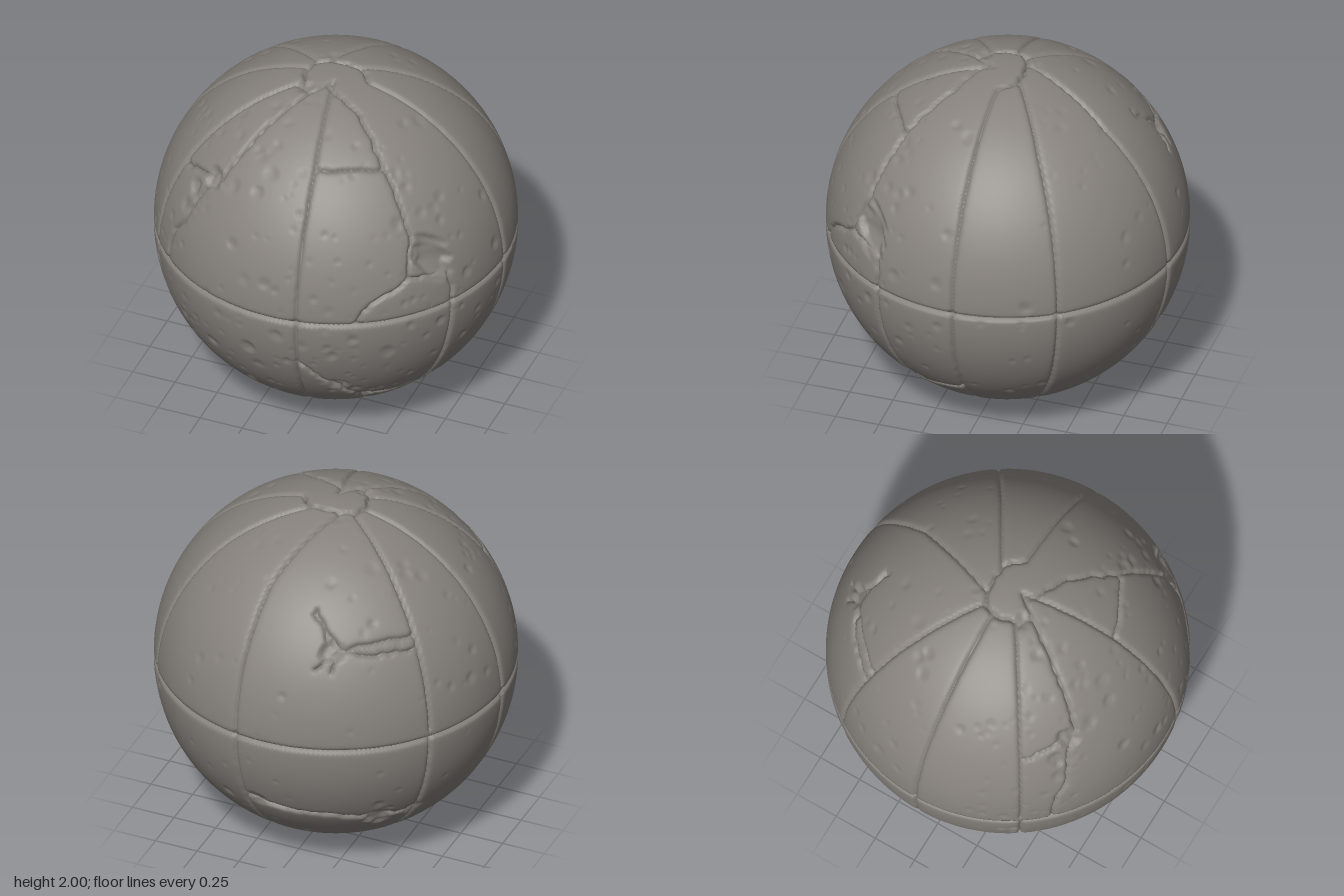
import * as THREE from 'three';
import { mergeVertices } from 'three/addons/utils/BufferGeometryUtils.js';

let seed = 7;
const rnd = () => {
  seed = (seed * 16807) % 2147483647;
  return seed / 2147483647;
};

// Point on the unit sphere at (u right, v up) as seen from an azimuth and elevation in degrees
function on(az, el, u, v) {
  const a = az * Math.PI / 180, e = el * Math.PI / 180;
  const w = Math.sqrt(Math.max(0, 1 - u * u - v * v));
  return new THREE.Vector3(Math.cos(a), 0, -Math.sin(a)).multiplyScalar(u)
    .addScaledVector(new THREE.Vector3(-Math.sin(a) * Math.sin(e), Math.cos(e), -Math.cos(a) * Math.sin(e)), v)
    .addScaledVector(new THREE.Vector3(Math.sin(a) * Math.cos(e), Math.sin(e), Math.cos(a) * Math.cos(e)), w)
    .normalize();
}
const front = (x, y) => on(0, 0, x, y - 1);
const side = (z, y) => on(90, 0, -z, y - 1);
const top = (x, z) => on(0, 90, x, -z);
const back = (u, v) => on(214, 24, u, v);
const under = (u, v) => on(140, -30, u, v);

// Grooves: short segments following a path over the sphere
const segments = [];
function groove(points, jitter, depth) {
  for (let i = 0; i < points.length - 1; i++) {
    const n = Math.max(1, Math.ceil(points[i].distanceTo(points[i + 1]) / 0.04));
    let from = points[i];
    for (let k = 1; k <= n; k++) {
      const to = points[i].clone().lerp(points[i + 1], k / n);
      if (k < n) to.add(new THREE.Vector3(rnd() - 0.5, rnd() - 0.5, rnd() - 0.5).multiplyScalar(jitter));
      to.normalize();
      segments.push({ a: from, d: to.clone().sub(from), depth });
      from = to;
    }
  }
}

function layOutGrooves() {
  // Equator
  const ring = [];
  for (let i = 0; i <= 32; i++) {
    ring.push(new THREE.Vector3(Math.cos(i * Math.PI / 16), 0, Math.sin(i * Math.PI / 16)));
  }
  groove(ring, 0.001, 0.024);

  // Upper seams, from the equator to the broken joint at the top
  const upper = [
    [[1, 0], [0.7, 0], [0.2, 0]],
    [[0.83, -0.56], [0.5, -0.34], [0.1, -0.1]],
    [[0.17, -0.985], [0.12, -0.6], [0, -0.28], [-0.07, -0.1]],
    [[-0.82, -0.57], [-0.5, -0.34], [-0.15, -0.08]],
    [[-1, 0], [-0.6, 0], [-0.17, 0]],
    [[-0.82, 0.57], [-0.55, 0.4], [-0.17, 0.15]],
    [[0.16, 0.987], [0.12, 0.6], [0.02, 0.08]],
  ];
  for (const path of upper) groove(path.map(([x, z]) => top(x, z)), 0.003, 0.017);

  // Lower seams
  const foot = new THREE.Vector3(-0.03, -1, -0.02).normalize();
  for (const [x, z] of [[1, 0], [0.83, -0.56], [0.17, -0.985], [-0.82, -0.57], [-1, 0], [-0.82, 0.57], [0.16, 0.987], [0.88, 0.47]]) {
    const mid = new THREE.Vector3(x, -1, z).normalize();
    groove([new THREE.Vector3(x, 0, z).normalize(), mid, foot], 0.003, 0.017);
  }

  // Cracks
  const crack = (view, path, depth = 0.02) => groove(path.map(([u, v]) => view(u, v)), 0.016, depth);
  crack(top, [[0.2, 0], [0.1, -0.1], [-0.07, -0.09], [-0.15, -0.05], [-0.17, 0.03], [-0.14, 0.15], [-0.08, 0.2]], 0.025);
  crack(top, [[-0.17, 0.15], [-0.08, 0.2], [0.02, 0.08]], 0.02);
  crack(front, [[0.88, 1], [0.88, 1.1], [0.86, 1.2], [0.7, 1.24], [0.66, 1.19], [0.55, 1.13], [0.47, 1.01]]);
  crack(front, [[0.7, 1.24], [0.69, 1.36], [0.68, 1.45], [0.6, 1.6], [0.46, 1.77], [0.24, 1.94], [0.02, 1.99]]);
  crack(front, [[0.13, 1.78], [0.3, 1.785], [0.46, 1.77]]);
  crack(front, [[-0.71, 1.01], [-0.67, 1.22], [-0.6, 1.32], [-0.5, 1.53], [-0.4, 1.62], [-0.33, 1.74], [-0.22, 1.88], [-0.08, 1.975]]);
  crack(front, [[-0.69, 1.53], [-0.55, 1.58], [-0.42, 1.61]]);
  crack(front, [[0.15, 0.7], [0.24, 0.6], [0.31, 0.5], [0.4, 0.36], [0.55, 0.31], [0.68, 0.32]], 0.028);
  crack(front, [[0.39, 0.35], [0.37, 0.2], [0.25, 0.1], [0.08, 0.01]]);
  crack(side, [[0.62, 0.33], [0.45, 0.31], [0.32, 0.34], [0.28, 0.3], [0.15, 0.34], [0, 0.38]], 0.025);
  crack(top, [[-0.67, -0.47], [-0.55, -0.6], [-0.32, -0.77], [-0.18, -0.66]]);
  crack(top, [[-0.32, -0.77], [-0.25, -0.85]]);
  crack(back, [[0.29, 0.14], [0.05, 0.13], [-0.12, 0.18], [-0.24, 0.38]]);
  crack(back, [[-0.12, 0.18], [-0.18, 0.06]]);
  crack(back, [[-0.62, -0.66], [-0.46, -0.75], [-0.2, -0.8], [0.08, -0.84], [0.3, -0.82]], 0.025);
  crack(under, [[0.47, 0], [0.62, -0.1], [0.76, -0.24], [0.81, -0.41]]);
}

// Broken-out hollows: centre, radius, depth
const chips = [
  [front(0.79, 1.31), 0.14, 0.04], [front(0.72, 1.36), 0.06, 0.03], [front(0.34, 0.5), 0.06, 0.025],
  [front(0.6, 0.32), 0.08, 0.025], [front(0.42, 0.34), 0.06, 0.025], [front(-0.46, 1.6), 0.07, 0.03],
  [front(-0.57, 1.5), 0.05, 0.02], [side(0.3, 0.33), 0.05, 0.025], [top(-0.32, -0.77), 0.07, 0.035],
  [back(0.08, -0.84), 0.09, 0.025], [back(0.28, -0.82), 0.06, 0.02], [back(-0.55, -0.7), 0.06, 0.015],
  [under(0.81, -0.41), 0.08, 0.03], [top(-0.12, 0.17), 0.06, 0.02],
];

// Scattered nicks, thickest over the front
function scatterNicks() {
  const nicks = [];
  while (nicks.length < 420) {
    const c = new THREE.Vector3(rnd() * 2 - 1, rnd() * 2 - 1, rnd() * 2 - 1);
    if (c.lengthSq() > 1 || c.lengthSq() < 0.05) continue;
    c.normalize();
    if (rnd() > (c.z > 0.25 ? 1 - 0.4 * Math.max(0, c.x) : 0.2)) continue;
    const slope = new THREE.Vector3(rnd() - 0.5, rnd() - 0.5, rnd() - 0.5).cross(c).normalize();
    const r = 0.018 + 0.04 * rnd() * rnd();
    nicks.push({ c, slope, r, depth: r * (0.15 + 0.2 * rnd()) });
  }
  return nicks;
}

function weatheredSphere() {
  layOutGrooves();
  const nicks = scatterNicks();
  let geo = new THREE.IcosahedronGeometry(1, 84);
  geo.deleteAttribute('normal');
  geo.deleteAttribute('uv');
  geo = mergeVertices(geo, 1e-5);
  const pos = geo.attributes.position;
  const p = new THREE.Vector3(), near = new THREE.Vector3(), q = new THREE.Vector3();
  const REACH = 0.05;

  for (let i = 0; i < pos.count; i++) {
    p.fromBufferAttribute(pos, i).normalize();

    // Draw vertices in towards the closest groove so that its bed is sharp
    let best = REACH, depth = 0;
    for (const s of segments) {
      if (p.dot(s.a) < 0.994) continue;
      const t = THREE.MathUtils.clamp(q.copy(p).sub(s.a).dot(s.d) / s.d.lengthSq(), 0, 1);
      q.copy(s.a).addScaledVector(s.d, t).normalize();
      const d = q.distanceTo(p);
      if (d < best) {
        best = d;
        depth = s.depth;
        near.copy(q);
      }
    }
    let drop = 0;
    if (best < REACH) {
      const d = best < 0.0075 ? 0 : REACH * Math.pow(best / REACH, 1.5);
      if (best > 1e-7) p.lerp(near, 1 - d / best).normalize();
      drop = depth * Math.max(0, 1 - d / 0.011) + 0.005 * Math.exp(-((d / 0.02) ** 2));
    }

    // Hollows with ragged rims
    for (const [c, r, h] of chips) {
      const d = p.distanceTo(c);
      if (d > r * 1.5) continue;
      const rag = 1 + 0.22 * Math.sin(p.x * 41 + p.y * 23) + 0.16 * Math.sin(p.y * 67 - p.z * 53);
      const k = THREE.MathUtils.clamp((1 - d / (r * rag)) * 2.2, 0, 1);
      drop = Math.max(drop, h * k * (0.85 + 0.15 * Math.sin(p.x * 90 + p.z * 70)));
    }

    // Nicks, steep on one side
    for (const n of nicks) {
      if (p.dot(n.c) < 0.997) continue;
      q.copy(p).sub(n.c);
      const d = q.length() / n.r;
      if (d < 1) drop = Math.max(drop, n.depth * Math.min(1, (1 - d) * 1.6) * (0.6 + 0.6 * q.dot(n.slope) / n.r));
    }
    p.multiplyScalar(1 - drop);
    pos.setXYZ(i, p.x, p.y, p.z);
  }
  geo.computeVertexNormals();
  return geo;
}

export function createModel() {
  seed = 7;
  segments.length = 0;
  const stone = new THREE.MeshStandardMaterial({ color: 0x86817c });
  stone.name = 'stone grey';
  const model = new THREE.Group();
  model.name = 'crackedStoneSphere';
  const shell = new THREE.Mesh(weatheredSphere(), stone);
  shell.name = 'stoneShell';
  shell.position.y = 1;
  model.add(shell);
  return model;
}
